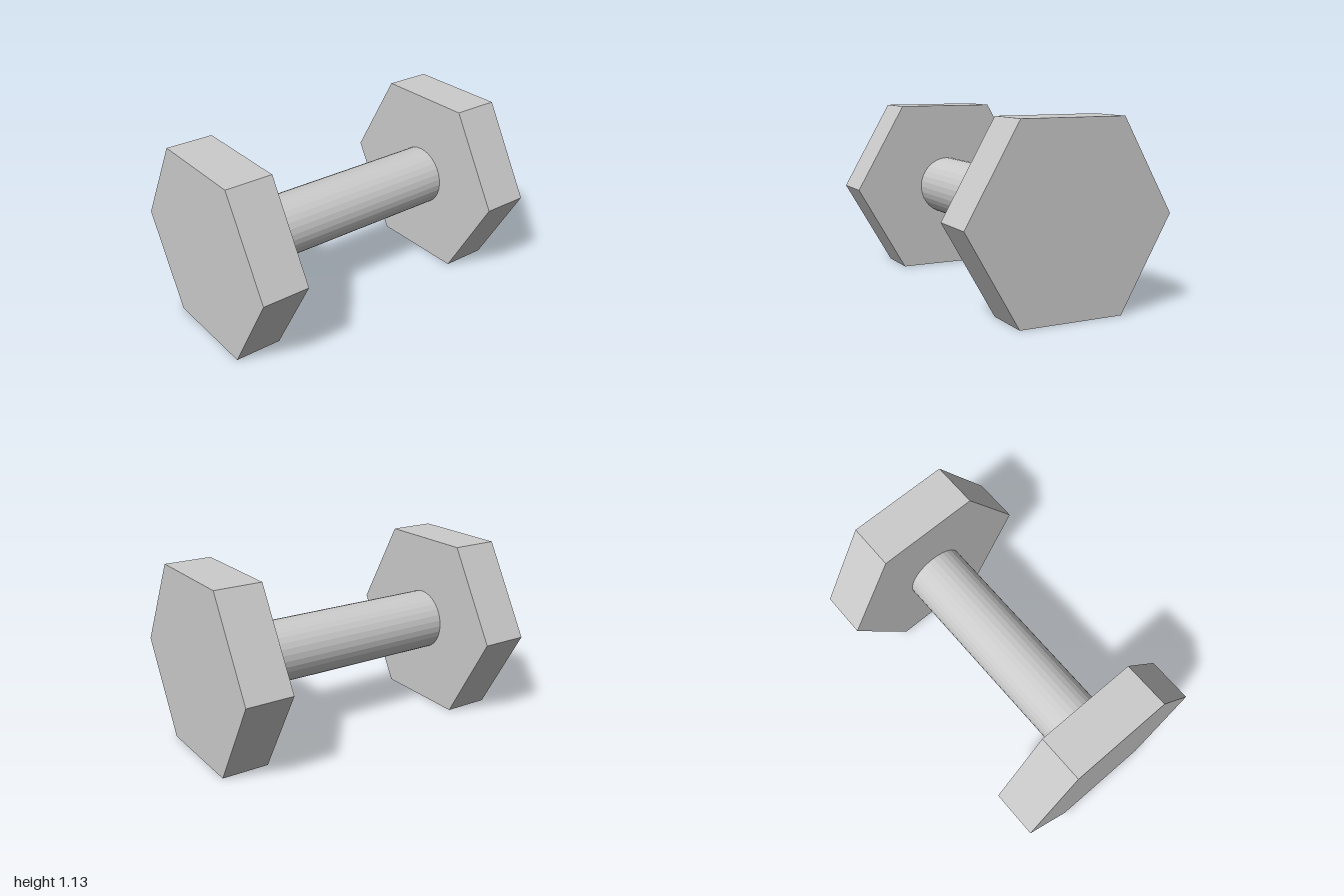
import * as THREE from 'three';

export function createModel() {
  const group = new THREE.Group();
  const material = new THREE.MeshStandardMaterial({ color: 0xcccccc, flatShading: true });

  const headRadius = 0.652;
  const headDepth = 0.297;
  const centreY = headRadius * Math.sqrt(3) / 2; // heads rest on a flat side

  // Prism lying along z, with a corner pointing to +x
  function addPrism(name, radius, length, sides, z, openEnded) {
    const geometry = new THREE.CylinderGeometry(radius, radius, length, sides, 1, openEnded, Math.PI / 2);
    geometry.rotateX(Math.PI / 2);
    const mesh = new THREE.Mesh(geometry, material);
    mesh.name = name;
    mesh.position.set(0, centreY, z);
    group.add(mesh);
  }

  // Hexagonal weights at both ends
  addPrism('frontWeight', headRadius, headDepth, 6, 1 - headDepth / 2, false);
  addPrism('backWeight', headRadius, headDepth, 6, -1 + headDepth / 2, false);

  // Round handle between the weights
  addPrism('handle', 0.195, 2 * (1 - headDepth), 32, 0, true);

  return group;
}
